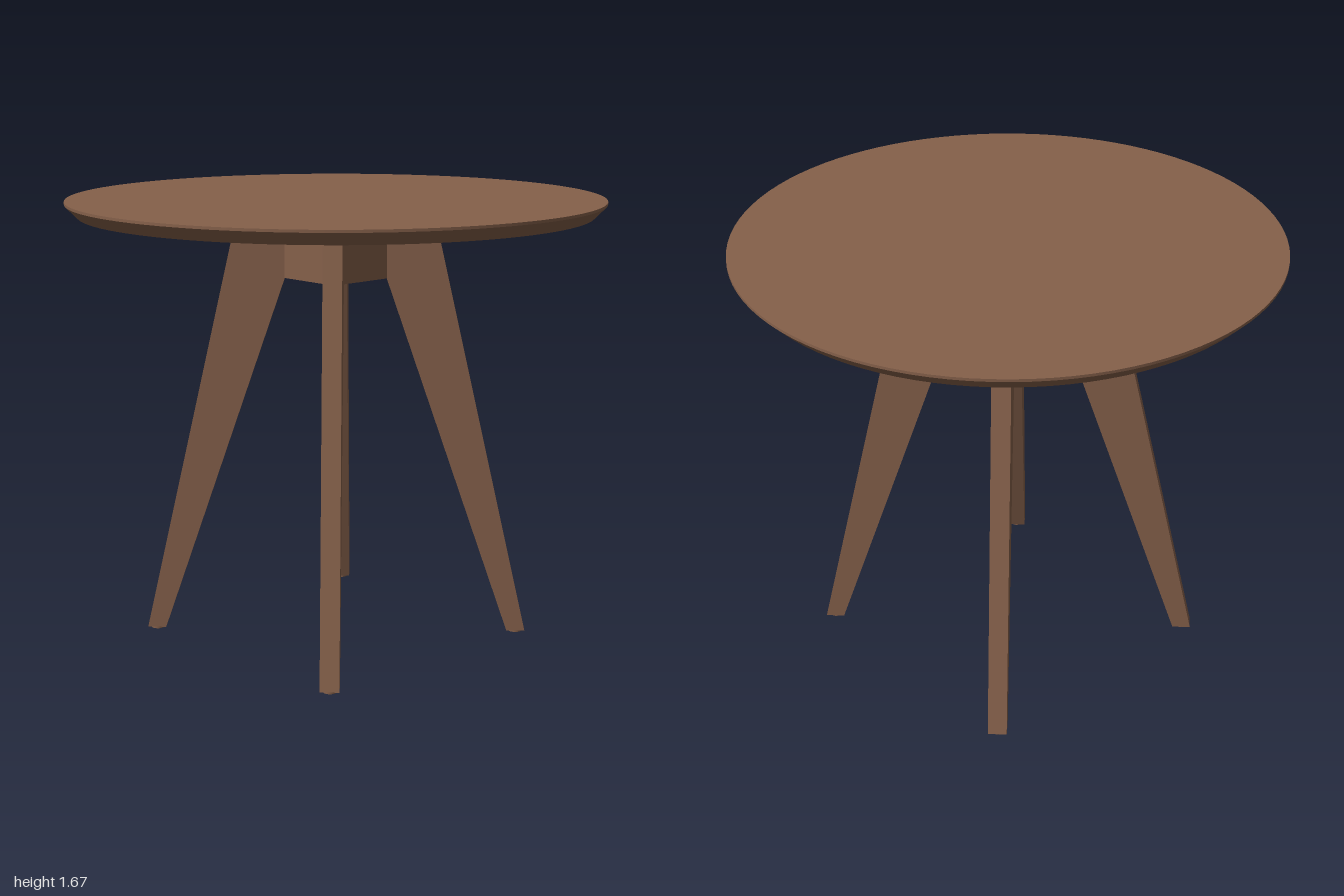
import * as THREE from 'three';

export function createModel() {
  const table = new THREE.Group();
  table.name = 'roundTable';
  const wood = new THREE.MeshStandardMaterial({ color: 0x85604a });
  wood.name = 'brownWood';

  const add = (name, geometry, parent = table) => {
    const mesh = new THREE.Mesh(geometry, wood);
    mesh.name = name;
    parent.add(mesh);
    return mesh;
  };
  const shapeOf = (pts) => new THREE.Shape(pts.map(([x, y]) => new THREE.Vector2(x, y)));
  // Slab with its outline in the floor plane, spanning y = bottom to y = top
  const slab = (shape, bottom, top, curveSegments = 12) =>
    new THREE.ExtrudeGeometry(shape, { depth: top - bottom, bevelEnabled: false, curveSegments })
      .rotateX(Math.PI / 2).translate(0, top, 0);

  // Round top: flat disc, thin straight rim and an undercut bevel
  const topGroup = new THREE.Group();
  topGroup.name = 'tableTop';
  table.add(topGroup);
  const band = (r0, y0, r1, y1) =>
    new THREE.LatheGeometry([new THREE.Vector2(r0, y0), new THREE.Vector2(r1, y1)], 96);
  add('topSurface', new THREE.CircleGeometry(1, 96).rotateX(-Math.PI / 2).translate(0, 1.675, 0), topGroup);
  add('topRim', band(1, 1.665, 1, 1.675), topGroup);
  add('topBevel', band(0.955, 1.62, 1, 1.665), topGroup);

  // Underside with one long groove running along a diagonal
  const under = new THREE.Shape();
  under.absarc(0, 0, 0.955, 0, Math.PI * 2);
  const L = 0.89, W = 0.03;
  under.holes.push(shapeOf([[-L, -W], [-L, W], [L, W], [L, -W]]));
  add('underside', slab(under, 1.62, 1.645, 48), topGroup).rotation.y = -Math.PI / 4;
  add('grooveBed', new THREE.BoxGeometry(2 * L, 0.015, 2 * W).translate(0, 1.6525, 0), topGroup)
    .rotation.y = -Math.PI / 4;

  // Square mounting plate turned onto the diagonals
  add('mountingPlate', new THREE.BoxGeometry(0.776, 0.042, 0.776).translate(0, 1.6, 0)).rotation.y = Math.PI / 4;

  // Hollow eight-sided hub between the legs
  const a = 0.11, b = 0.16;
  const corners = [[b, -a], [b, a], [a, b], [-a, b], [-b, a], [-b, -a], [-a, -b], [a, -b]];
  const hub = shapeOf(corners);
  hub.holes.push(shapeOf(corners.map(([x, y]) => [x * 0.75, y * 0.75]).reverse()));
  add('hub', slab(hub, 1.38, 1.58));

  // Crossed braces inside the hub
  for (const turn of [1, -1]) {
    add('hubBrace', new THREE.BoxGeometry(0.3, 0.16, 0.03).translate(0, 1.5, 0)).rotation.y = turn * Math.PI / 4;
  }

  // Four tapered, splayed legs with small foot glides
  const legProfile = shapeOf([[0.66, 0.01], [0.73, 0.01], [0.375, 1.58], [0.19, 1.58], [0.19, 1.38]]);
  const thickness = 0.07;
  const legGeometry = new THREE.ExtrudeGeometry(legProfile, { depth: thickness, bevelEnabled: false })
    .translate(0, 0, -thickness / 2);
  const glideGeometry = new THREE.CylinderGeometry(0.025, 0.025, 0.012, 20).translate(0.695, 0.006, 0);
  for (let i = 0; i < 4; i++) {
    const leg = new THREE.Group();
    leg.name = 'leg' + (i + 1);
    leg.rotation.y = Math.PI / 4 + i * Math.PI / 2;
    add('legPost', legGeometry, leg);
    add('footGlide', glideGeometry, leg);
    table.add(leg);
  }
  return table;
}
